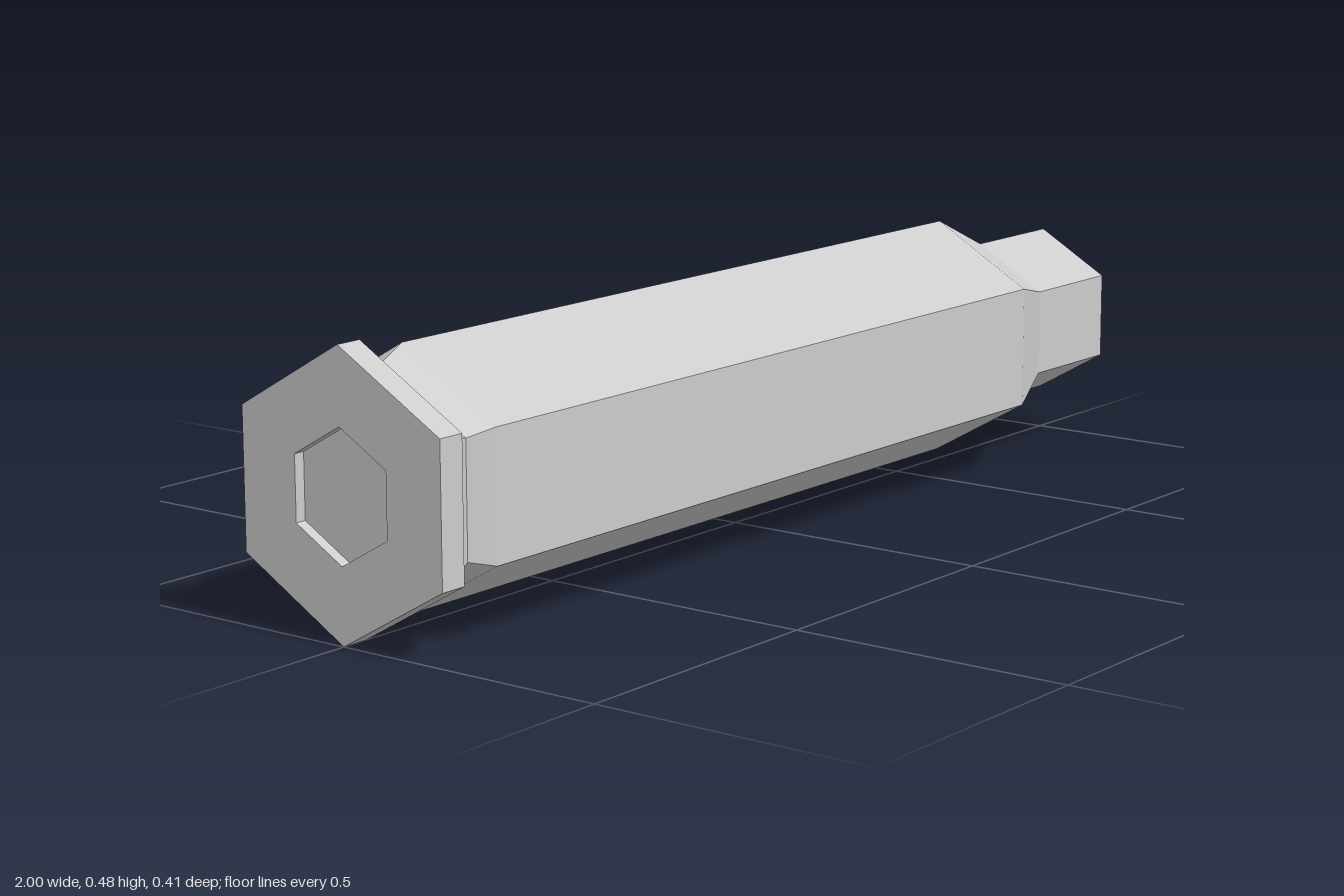
import * as THREE from 'three';

const CENTRE_Y = 0.238;

// Each part is a list of [radius, x] pairs running from the base to the mouth.
const PARTS = {
  primerRecess: [[0, -0.98], [0.11, -0.98], [0.11, -1]],
  rim: [[0.11, -1], [0.238, -1], [0.238, -0.95], [0.217, -0.95]],
  extractorGroove: [[0.217, -0.95], [0.195, -0.9], [0.219, -0.855]],
  caseBody: [[0.219, -0.855], [0.219, 0.635]],
  shoulder: [[0.219, 0.635], [0.157, 0.775]],
  neck: [[0.157, 0.775], [0.157, 1], [0, 1]],
};

// Six-sided turned part lying along x, with a corner pointing straight up
function hexTurned(name, profile, material) {
  const points = profile.map(([r, x]) => new THREE.Vector2(r, x));
  const geometry = new THREE.LatheGeometry(points, 6, Math.PI / 6);
  geometry.rotateZ(-Math.PI / 2);
  const mesh = new THREE.Mesh(geometry, material);
  mesh.name = name;
  return mesh;
}

export function createModel() {
  const group = new THREE.Group();
  group.name = 'cartridgeCase';
  const material = new THREE.MeshStandardMaterial({ color: 0xcccccc, flatShading: true });
  for (const [name, profile] of Object.entries(PARTS)) {
    const part = hexTurned(name, profile, material);
    part.position.y = CENTRE_Y;
    group.add(part);
  }
  return group;
}
